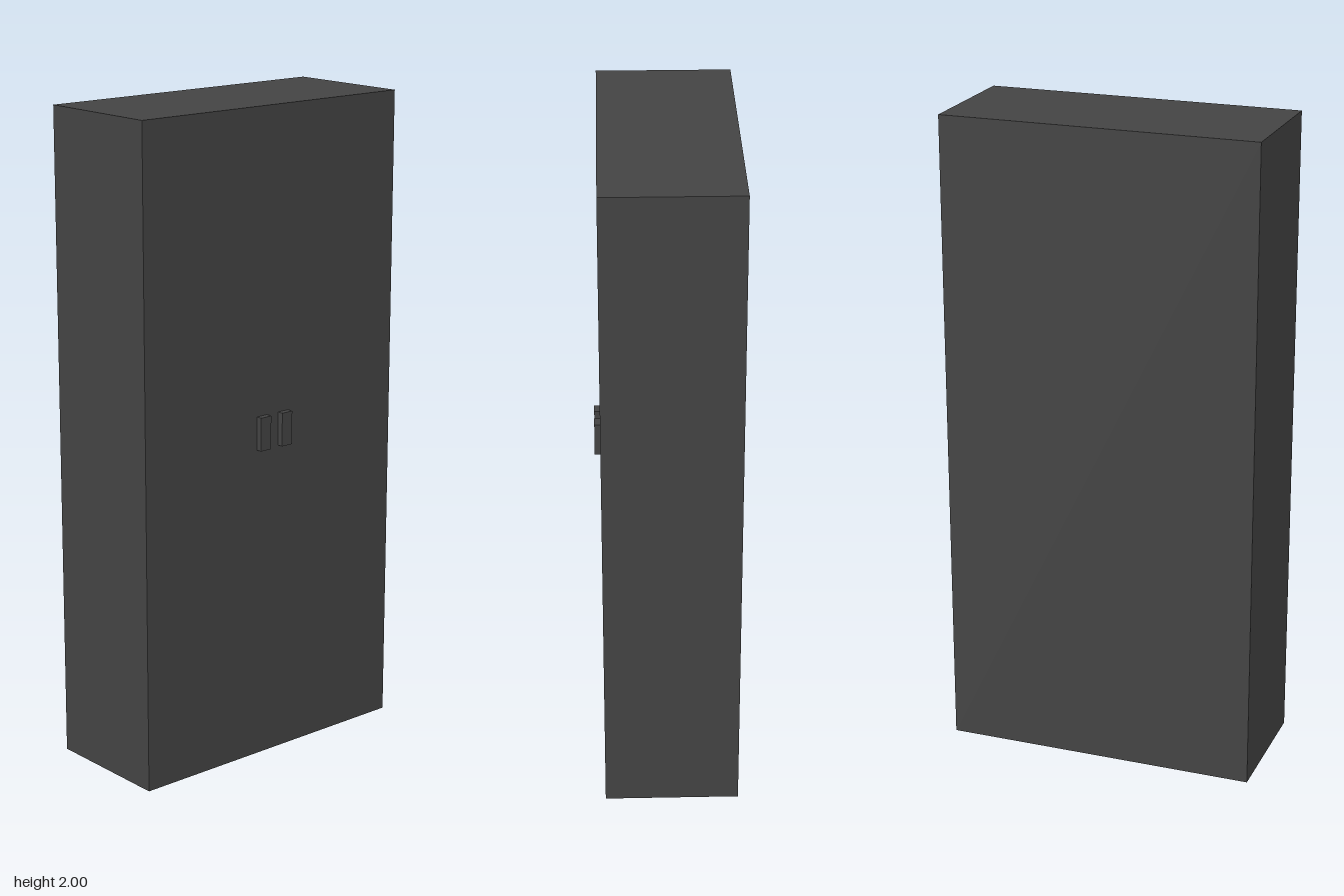
import * as THREE from 'three';

const material = new THREE.MeshStandardMaterial({ color: 0x444444 });

// Box spanning two opposite corners
function box(name, [x0, y0, z0], [x1, y1, z1]) {
  const mesh = new THREE.Mesh(new THREE.BoxGeometry(x1 - x0, y1 - y0, z1 - z0), material);
  mesh.position.set((x0 + x1) / 2, (y0 + y1) / 2, (z0 + z1) / 2);
  mesh.name = name;
  return mesh;
}

export function createModel() {
  const group = new THREE.Group();
  group.name = 'wardrobe';

  // Tall cabinet, its doors on the +x side
  group.add(box('cabinetBody', [-0.213, 0, -0.485], [0.194, 2, 0.485]));

  // Pair of door handles either side of the middle
  for (const side of [-1, 1]) {
    const z = side * 0.042;
    group.add(box(side > 0 ? 'frontHandle' : 'backHandle',
      [0.194, 0.977, z - 0.02], [0.213, 1.08, z + 0.02]));
  }
  return group;
}
